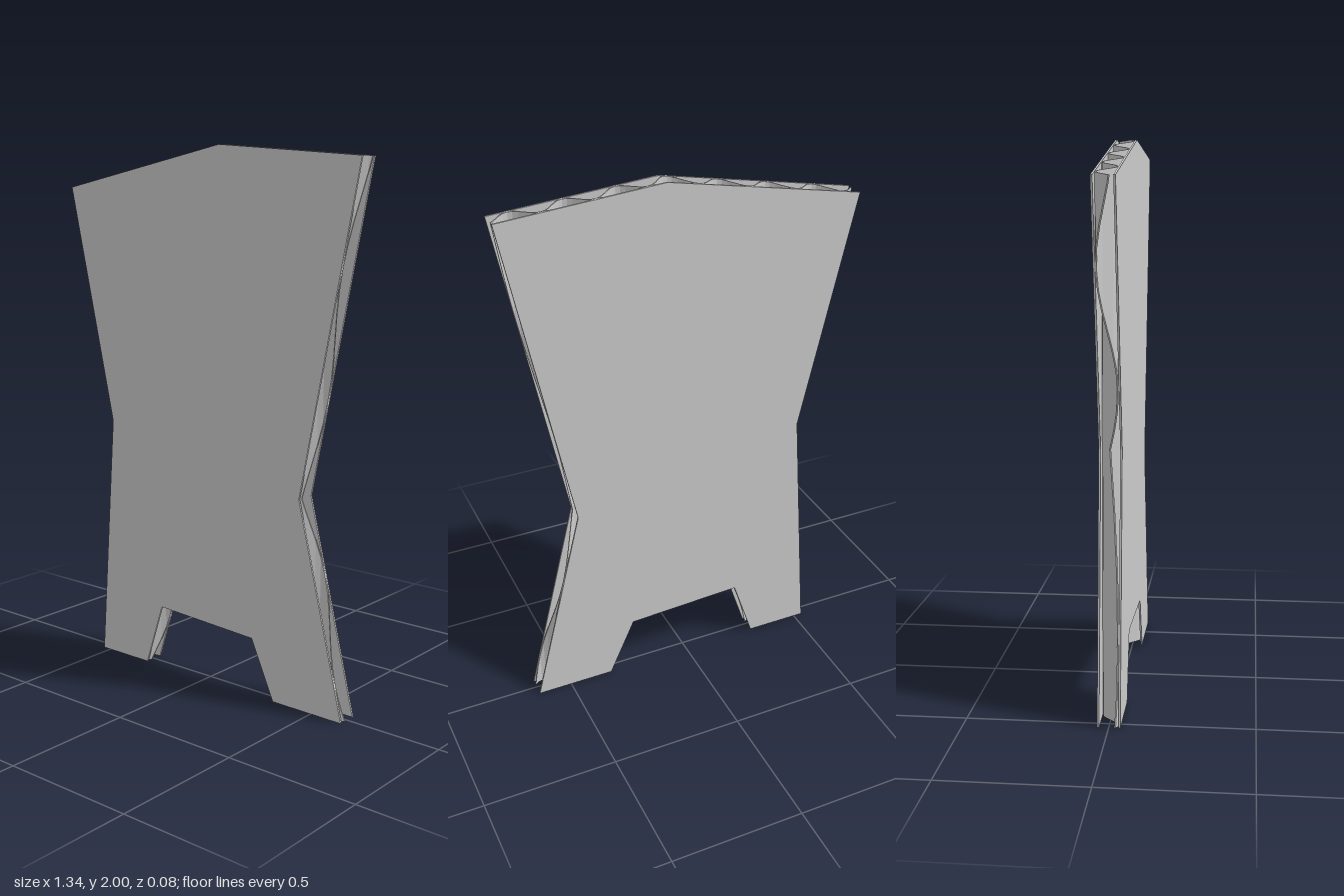
import * as THREE from 'three';

// Outline of the cut board, counter-clockwise seen from the front
const OUTLINE = [
  [-0.535, 0], [-0.295, 0], [-0.215, 0.243], [0.23, 0.22], [0.33, 0], [0.63, 0],
  [0.436, 0.778], [0.67, 1.955], [0.07, 2], [-0.672, 1.85], [-0.466, 0.952],
];
const HALF_DEPTH = 0.04;
const SHEET = 0.007; // thickness of the flat liners
const FLUTE = 0.005; // thickness of the wavy core
const PERIOD = 0.185;
const STEPS = 12; // facets per wave
const CREST = -0.605; // x of a crest that touches the back liner
const AMPLITUDE = HALF_DEPTH - SHEET - FLUTE / 2;

// Height of the faceted wave at x
function wave(x) {
  const s = ((x - CREST) / PERIOD) * STEPS;
  const i = Math.floor(s);
  const at = (k) => -AMPLITUDE * Math.cos((k / STEPS) * Math.PI * 2);
  return THREE.MathUtils.lerp(at(i), at(i + 1), s - i);
}

// Flat liner sheet whose back face lies at z
function liner(name, z, material) {
  const shape = new THREE.Shape(OUTLINE.map(([x, y]) => new THREE.Vector2(x, y)));
  const geometry = new THREE.ExtrudeGeometry(shape, { depth: SHEET, bevelEnabled: false });
  const mesh = new THREE.Mesh(geometry, material);
  mesh.name = name;
  mesh.position.z = z;
  return mesh;
}

// Wavy core: vertical strips of the outline, each bent onto the wave
function flutedCore() {
  const xs = OUTLINE.map((p) => p[0]);
  const left = Math.min(...xs);
  const right = Math.max(...xs);
  const step = PERIOD / STEPS;
  for (let x = CREST - 6 * step; x < right; x += step) if (x > left) xs.push(x);
  xs.sort((a, b) => a - b);

  const positions = [];
  const quad = (a, b, c, d) => positions.push(...a, ...b, ...c, ...a, ...c, ...d);
  const edges = OUTLINE.map((p, i) => [p, OUTLINE[(i + 1) % OUTLINE.length]]);
  const yAt = ([p, q], x) => p[1] + ((q[1] - p[1]) * (x - p[0])) / (q[0] - p[0]);

  for (let i = 0; i + 1 < xs.length; i++) {
    const [a, b] = [xs[i], xs[i + 1]];
    if (b - a < 1e-6) continue;
    const mid = (a + b) / 2;
    // Edges crossing this strip, paired from the bottom up
    const crossing = edges
      .filter(([p, q]) => (p[0] - mid) * (q[0] - mid) < 0)
      .sort((e, f) => yAt(e, mid) - yAt(f, mid));
    for (let k = 0; k + 1 < crossing.length; k += 2) {
      const corner = (x, edge, side) => [x, yAt(edge, x), wave(x) + (side * FLUTE) / 2];
      const [low, high] = [crossing[k], crossing[k + 1]];
      const ring = (side) => [
        corner(a, low, side), corner(b, low, side), corner(b, high, side), corner(a, high, side),
      ];
      const f = ring(1);
      const r = ring(-1);
      quad(f[0], f[1], f[2], f[3]); // front
      quad(r[1], r[0], r[3], r[2]); // back
      quad(r[0], r[1], f[1], f[0]); // lower cut edge
      quad(f[3], f[2], r[2], r[3]); // upper cut edge
    }
  }
  const geometry = new THREE.BufferGeometry();
  geometry.setAttribute('position', new THREE.Float32BufferAttribute(positions, 3));
  geometry.computeVertexNormals();
  return geometry;
}

export function createModel() {
  const group = new THREE.Group();
  group.name = 'corrugatedBoard';
  const material = new THREE.MeshStandardMaterial({ color: 0xcccccc, side: THREE.DoubleSide });

  group.add(liner('frontLiner', HALF_DEPTH - SHEET, material));
  group.add(liner('backLiner', -HALF_DEPTH, material));

  const core = new THREE.Mesh(flutedCore(), material);
  core.name = 'flutedCore';
  group.add(core);
  return group;
}
